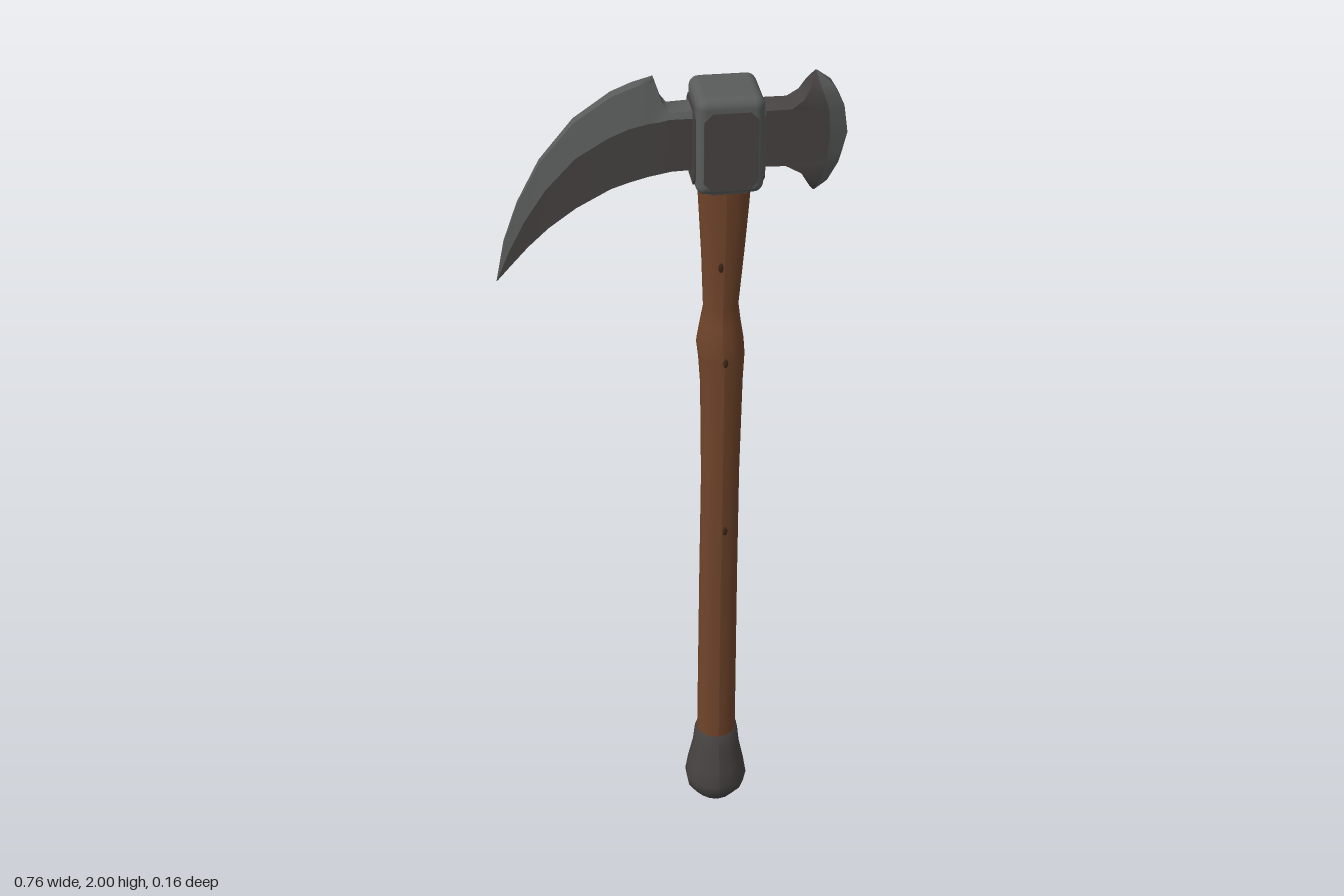
import * as THREE from 'three';
import { RoundedBoxGeometry } from 'three/addons/geometries/RoundedBoxGeometry.js';

function material(name, color) {
  const m = new THREE.MeshStandardMaterial({ color });
  m.name = name;
  return m;
}

// Round bar through rows of [y, centre x, x radius, z radius], top row first.
function turned(rows, sides) {
  const g = new THREE.CylinderGeometry(1, 1, 1, sides, rows.length - 1, true);
  const p = g.attributes.position;
  for (let i = 0; i < p.count; i++) {
    const [y, cx, rx, rz] = rows[Math.floor(i / (sides + 1))];
    p.setXYZ(i, cx + p.getX(i) * rx, y, p.getZ(i) * rz);
  }
  g.computeVertexNormals();
  return g;
}

// Blade through stations of [edge x, y, half thickness, ridge x, y, half, inner x, y, half].
// Each of the six strips has its own vertices, so the ridges stay sharp.
// Material 0 is the edge, material 1 the body.
function blade(stations) {
  const rings = stations.map(([ox, oy, ot, rx, ry, rt, ix, iy, it]) => [
    [ox, oy, ot], [rx, ry, rt], [ix, iy, it], [ix, iy, -it], [rx, ry, -rt], [ox, oy, -ot],
  ]);
  const g = new THREE.BufferGeometry();
  const pos = [], index = [];
  for (let s = 0; s < 6; s++) {
    const base = pos.length / 3, start = index.length;
    rings.forEach((r) => pos.push(...r[s], ...r[(s + 1) % 6]));
    for (let k = 0; k < rings.length - 1; k++) {
      const a = base + k * 2, b = a + 1, c = a + 2, d = a + 3;
      index.push(a, c, d, a, d, b);
    }
    g.addGroup(start, index.length - start, s === 0 || s >= 4 ? 0 : 1);
  }
  g.setAttribute('position', new THREE.Float32BufferAttribute(pos, 3));
  g.setIndex(index);
  g.computeVertexNormals();
  return g;
}

// Thin plate with clipped corners.
function plate(w, h) {
  const c = 0.018, x = w / 2, y = h / 2;
  const s = new THREE.Shape([
    [-x + c, -y], [x - c, -y], [x, -y + c], [x, y - c],
    [x - c, y], [-x + c, y], [-x, y - c], [-x, -y + c],
  ].map(([a, b]) => new THREE.Vector2(a, b)));
  return new THREE.ExtrudeGeometry(s, { depth: 0.004, bevelEnabled: false });
}

export function createModel() {
  const wood = material('wood', 0x70442a);
  const darkWood = material('dark wood', 0x3d2618);
  const steel = material('dark steel', 0x484343);
  const edge = material('worn steel', 0x5a5c5c);
  const group = new THREE.Group();
  const add = (name, geometry, mat, x = 0, y = 0, z = 0) => {
    const m = new THREE.Mesh(geometry, mat);
    m.name = name;
    m.position.set(x, y, z);
    group.add(m);
    return m;
  };

  // Handle with a swollen knot below the neck
  add('handle', turned([
    [1.80, 0.118, 0.062, 0.044],
    [1.70, 0.118, 0.056, 0.041],
    [1.58, 0.117, 0.048, 0.037],
    [1.45, 0.114, 0.040, 0.035],
    [1.41, 0.113, 0.046, 0.042],
    [1.36, 0.113, 0.054, 0.051],
    [1.32, 0.117, 0.053, 0.052],
    [1.25, 0.118, 0.049, 0.048],
    [1.00, 0.118, 0.045, 0.043],
    [0.70, 0.117, 0.046, 0.041],
    [0.45, 0.117, 0.047, 0.042],
    [0.20, 0.117, 0.048, 0.046],
  ], 16), wood);

  // Small dark grain marks, front and back
  for (const [x, y, z] of [[0.119, 1.325, 0.051], [0.108, 1.56, 0.0355], [0.125, 0.86, 0.0415]]) {
    for (const side of [1, -1]) {
      const mark = add('grainMark', new THREE.SphereGeometry(1, 8, 6), darkWood, x, y, z * side);
      mark.scale.set(0.006, 0.012, 0.003);
    }
  }

  // Pommel
  add('pommel', turned([
    [0.235, 0.117, 0.040, 0.038],
    [0.237, 0.117, 0.053, 0.051],
    [0.19, 0.117, 0.058, 0.056],
    [0.135, 0.117, 0.070, 0.068],
    [0.09, 0.117, 0.077, 0.075],
    [0.06, 0.117, 0.071, 0.069],
    [0.03, 0.117, 0.046, 0.045],
    [0.012, 0.117, 0.018, 0.018],
    [0.005, 0.117, 0, 0],
  ], 14), steel);

  // Head block with worn edges and dark inset faces
  add('headBlock', new RoundedBoxGeometry(0.146, 0.222, 0.152, 3, 0.022), edge, 0.12, 1.865, 0);
  for (const side of [1, -1]) {
    const face = add('headFace', plate(0.116, 0.178), steel, 0.12, 1.858, 0.0755 * side);
    const cheek = add('headCheek', plate(0.116, 0.178), steel, 0.12 + 0.0725 * side, 1.858, 0);
    face.rotation.y = side > 0 ? 0 : Math.PI;
    cheek.rotation.y = side * Math.PI / 2;
  }
  const base = add('headBase', plate(0.116, 0.12), steel, 0.12, 1.7545, 0);
  base.rotation.x = Math.PI / 2;

  // Curved pick blade, from the block out to the point
  add('pickBlade', blade([
    [0.06, 1.935, 0.030, 0.06, 1.92, 0.036, 0.06, 1.800, 0.032],
    [-0.005, 1.933, 0.028, -0.005, 1.92, 0.035, 0.00, 1.798, 0.031],
    [-0.020, 1.955, 0.020, -0.025, 1.915, 0.034, -0.025, 1.793, 0.030],
    [-0.035, 2.000, 0.016, -0.05, 1.912, 0.033, -0.05, 1.788, 0.029],
    [-0.080, 1.988, 0.015, -0.09, 1.902, 0.031, -0.09, 1.777, 0.028],
    [-0.125, 1.970, 0.014, -0.135, 1.883, 0.030, -0.13, 1.763, 0.026],
    [-0.205, 1.915, 0.012, -0.205, 1.838, 0.025, -0.205, 1.720, 0.021],
    [-0.280, 1.825, 0.009, -0.27, 1.765, 0.019, -0.265, 1.673, 0.015],
    [-0.330, 1.730, 0.006, -0.317, 1.69, 0.013, -0.31, 1.628, 0.010],
    [-0.362, 1.640, 0.004, -0.352, 1.617, 0.008, -0.345, 1.587, 0.006],
    [-0.381, 1.545, 0, -0.38, 1.545, 0, -0.379, 1.545, 0],
  ]), [edge, steel]);

  // Flared axe blade, from the lower horn to the upper horn
  add('axeBlade', blade([
    [0.315, 1.720, 0, 0.313, 1.721, 0, 0.311, 1.722, 0],
    [0.340, 1.748, 0.014, 0.318, 1.745, 0.026, 0.300, 1.742, 0.027],
    [0.363, 1.790, 0.015, 0.331, 1.782, 0.028, 0.280, 1.776, 0.032],
    [0.367, 1.805, 0.015, 0.334, 1.797, 0.029, 0.245, 1.797, 0.035],
    [0.369, 1.812, 0.015, 0.335, 1.805, 0.029, 0.180, 1.800, 0.036],
    [0.380, 1.860, 0.016, 0.340, 1.860, 0.030, 0.180, 1.860, 0.037],
    [0.372, 1.917, 0.015, 0.336, 1.916, 0.029, 0.180, 1.928, 0.036],
    [0.370, 1.925, 0.015, 0.334, 1.926, 0.029, 0.255, 1.928, 0.035],
    [0.361, 1.945, 0.015, 0.328, 1.945, 0.028, 0.280, 1.945, 0.032],
    [0.345, 1.972, 0.014, 0.318, 1.972, 0.026, 0.295, 1.970, 0.027],
    [0.312, 2.000, 0, 0.310, 2.000, 0, 0.308, 2.000, 0],
  ]), [edge, steel]);

  return group;
}
